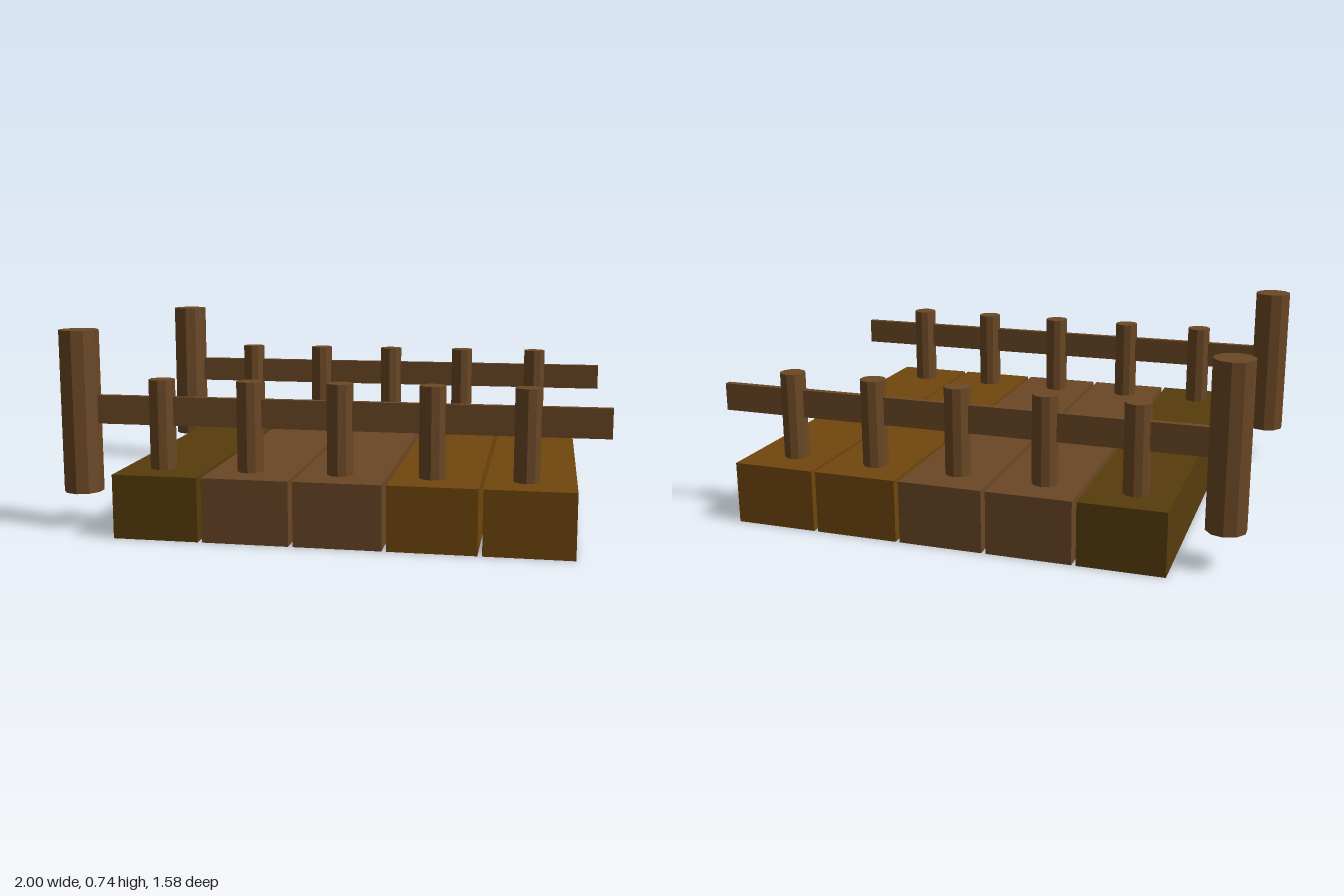
import * as THREE from 'three';

const wood = (color) => new THREE.MeshStandardMaterial({ color, flatShading: true });

export function createModel() {
  const model = new THREE.Group();
  const postWood = wood(0x6b4825);
  const olive = wood(0x583c0c), brown = wood(0x6b4726), amber = wood(0x70460d);
  const pitch = 0.332;

  const add = (name, geometry, material, x, y, z) => {
    const mesh = new THREE.Mesh(geometry, material);
    mesh.name = name;
    mesh.position.set(x, y, z);
    model.add(mesh);
  };

  // Ten-sided upright between two heights
  const addPost = (name, radius, bottom, top, x, z) =>
    add(name, new THREE.CylinderGeometry(radius, radius, top - bottom, 10),
      postWood, x, (bottom + top) / 2, z);

  // Deck planks, side by side with narrow gaps
  [olive, brown, brown, amber, amber].forEach((material, i) =>
    add('plank' + (i + 1), new THREE.BoxGeometry(0.316, 0.235, 1.58),
      material, -0.599 + i * pitch, 0.1175, 0));

  // A railing along each side: end post, small posts and a rail
  for (const [side, z] of [['front', 0.637], ['back', -0.637]]) {
    addPost(side + 'EndPost', 0.073, 0.137, 0.742, -0.931, z);
    for (let i = 0; i < 5; i++) {
      addPost(side + 'RailPost' + (i + 1), 0.048, 0.2, 0.565, -0.615 + i * pitch, z);
    }
    add(side + 'Rail', new THREE.BoxGeometry(1.93, 0.106, 0.026), postWood, 0.035, 0.448, z);
  }
  return model;
}
